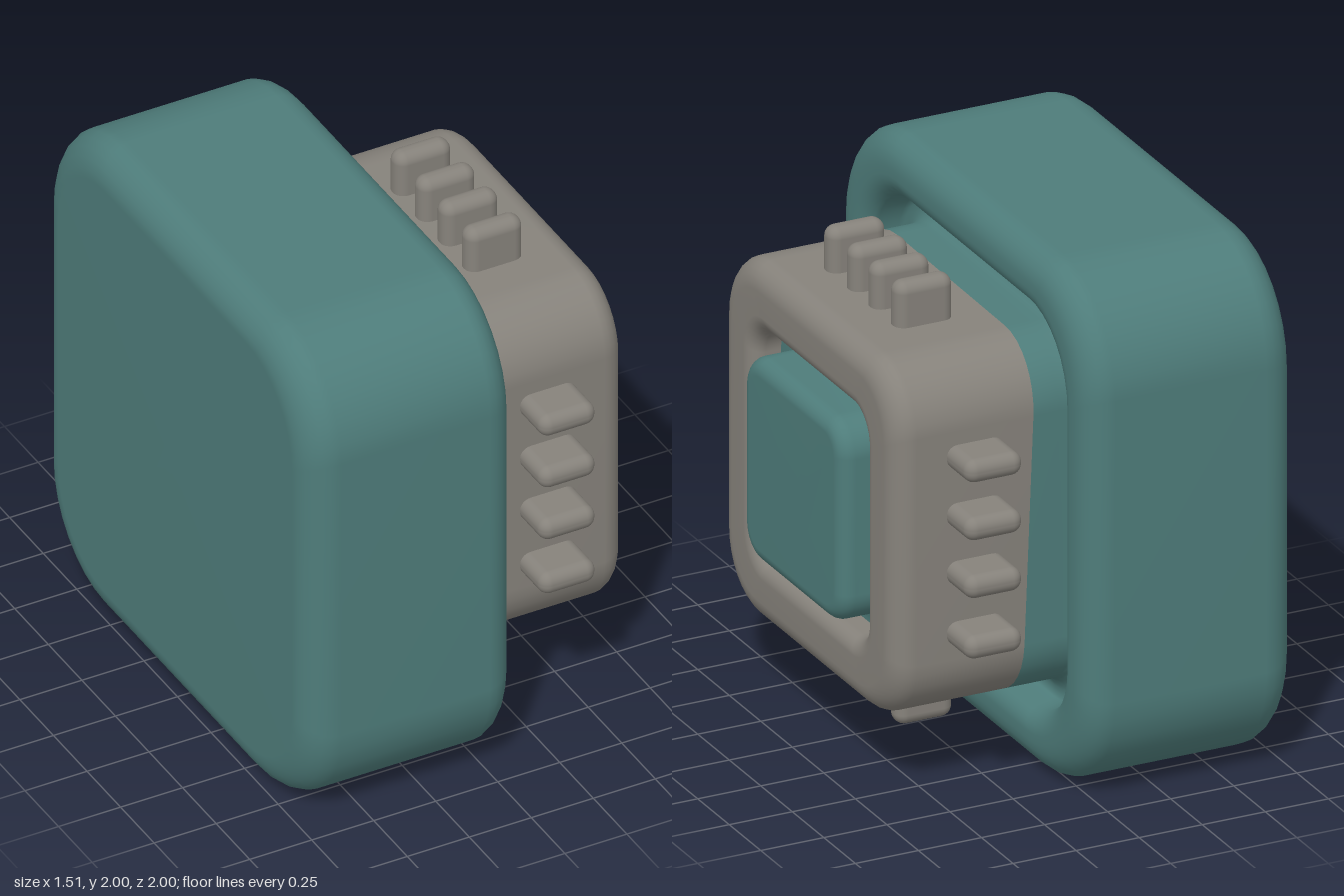
import * as THREE from 'three';
import { RoundedBoxGeometry } from 'three/addons/geometries/RoundedBoxGeometry.js';

const teal = new THREE.MeshStandardMaterial({ color: 0x4e7c7a });
teal.name = 'teal';
const grey = new THREE.MeshStandardMaterial({ color: 0x86827b });
grey.name = 'warm grey';

const SEG = 8; // steps per rounded corner

// Slightly slanted line where the teal neck meets the grey housing
const seam = (y, z) => 0.15 - 0.04 * y - 0.01 * z;

// Quarter arc of profile stations [x, half width] from angle a0 to a1 (degrees)
function arc(cx, ch, r, a0, a1, radius, n = 6) {
  return Array.from({ length: n + 1 }, (_, i) => {
    const a = THREE.MathUtils.degToRad(a0 + ((a1 - a0) * i) / n);
    const half = ch + r * Math.sin(a);
    return [cx + r * Math.cos(a), half, radius(half)];
  });
}

// Loft of rounded squares along x; stations are [x or seam, half width, corner radius]
function loft(stations) {
  const pos = [], index = [];
  const count = 4 * (SEG + 1);
  for (const [x, half, r] of stations) {
    for (let c = 0; c < 4; c++) {
      for (let s = 0; s <= SEG; s++) {
        const a = (c + s / SEG) * Math.PI / 2;
        const cy = (c === 0 || c === 3 ? 1 : -1) * (half - r);
        const cz = (c < 2 ? 1 : -1) * (half - r);
        const y = cy + r * Math.cos(a), z = cz + r * Math.sin(a);
        pos.push(typeof x === 'function' ? x(y, z) : x, y, z);
      }
    }
  }
  for (let i = 0; i < stations.length - 1; i++) {
    for (let j = 0; j < count; j++) {
      const k = (j + 1) % count;
      const a = i * count + j, b = i * count + k;
      index.push(a, b, a + count, b, b + count, a + count);
    }
  }
  const geo = new THREE.BufferGeometry();
  geo.setAttribute('position', new THREE.Float32BufferAttribute(pos, 3));
  geo.setIndex(index);
  geo.computeVertexNormals();
  return geo;
}

export function createModel() {
  const group = new THREE.Group();
  const add = (name, geo, mat, y = 1) => {
    const mesh = new THREE.Mesh(geo, mat);
    mesh.name = name;
    mesh.position.y = y;
    group.add(mesh);
    return mesh;
  };

  // Big rounded block with a dished front and a neck rising from it
  const bodyR = (h) => 0.25 + (h - 0.69) * 0.52;
  add('bodyAndNeck', loft([
    [-0.76, 0, 0],
    ...arc(-0.63, 0.87, 0.13, 180, 90, bodyR),
    ...arc(-0.03, 0.89, 0.11, 90, 0, bodyR),
    ...arc(0.0, 0.86, 0.08, 0, -70, bodyR),
    ...arc(-0.01, 0.74, 0.05, 100, 270, bodyR, 8).slice(2),
    [0.04, 0.69, 0.25],
    [seam, 0.69, 0.25],
  ]), teal);

  // Grey square housing with rounded outer rim and a square opening
  const rimR = (h) => 0.12 + (h - 0.45) * 0.54;
  add('housing', loft([
    [seam, 0.69, 0.25],
    ...arc(0.6, 0.6, 0.09, 90, 0, rimR),
    ...arc(0.63, 0.51, 0.06, 0, -90, rimR),
    [0.52, 0.45, 0.12],
  ]), grey);

  // Teal floor of the opening and the raised square button
  const buttonR = (h) => Math.max(0.08, 0.13 - (0.395 - h));
  add('button', loft([
    [0.57, 0.45, 0.12],
    [0.57, 0.4, 0.13],
    [0.58, 0.395, 0.13],
    ...arc(0.695, 0.335, 0.06, 90, 0, buttonR),
    [0.755, 0, 0],
  ]), teal);

  // Four cooling fins on each of the four sides
  const finX = 0.37;
  const finGeo = new RoundedBoxGeometry(0.225, 0.26, 0.09, 4, 0.042);
  for (const side of [-1, 1]) {
    for (const z of [0.27, 0.09, -0.08, -0.26]) {
      const fin = add(side > 0 ? 'topFin' : 'bottomFin', finGeo, grey, 1 + side * 0.73);
      fin.position.set(finX, fin.position.y, z);
    }
    for (const y of [1.345, 1.12, 0.895, 0.66]) {
      const fin = add(side > 0 ? 'frontFin' : 'rearFin', finGeo, grey, y);
      fin.position.set(finX, y, side * 0.73);
      fin.rotation.x = Math.PI / 2;
    }
  }
  return group;
}
